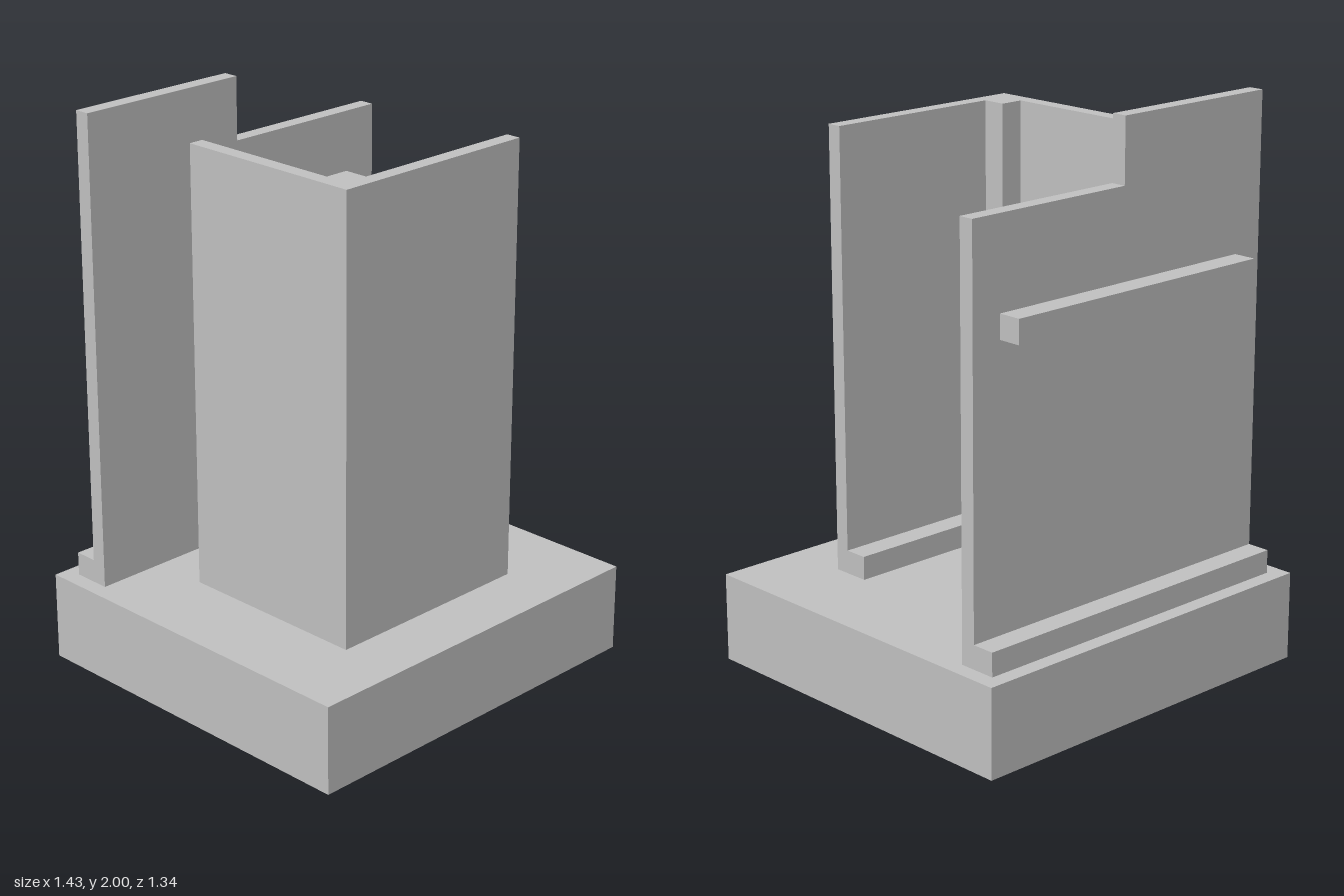
import * as THREE from 'three';

const BASE_TOP = 0.316, FOOT_TOP = 0.4, SCREEN_TOP = 1.89;

export function createModel() {
  const model = new THREE.Group();
  model.name = 'walledPlinth';
  const grey = new THREE.MeshStandardMaterial({ color: 0xbfbfbf });
  grey.name = 'plain grey';

  const add = (name, geometry) => {
    const mesh = new THREE.Mesh(geometry, grey);
    mesh.name = name;
    model.add(mesh);
    return mesh;
  };

  // Box given by its lower and upper limits on each axis
  const box = (name, [x0, x1], [y0, y1], [z0, z1]) =>
    add(name, new THREE.BoxGeometry(x1 - x0, y1 - y0, z1 - z0))
      .position.set((x0 + x1) / 2, (y0 + y1) / 2, (z0 + z1) / 2);

  const outline = (points) => new THREE.Shape(points.map(([x, y]) => new THREE.Vector2(x, y)));
  const extrude = (points, depth) =>
    new THREE.ExtrudeGeometry(outline(points), { depth, bevelEnabled: false });

  // Base slab
  box('base', [-0.713, 0.713], [0, BASE_TOP], [-0.671, 0.671]);

  // L-shaped screen with a square post in its inner corner, drawn as a plan in (x, -z)
  const screen = extrude([
    [-0.4, -0.44], [0.4, -0.44], [0.4, -0.386], [-0.26, -0.386],
    [-0.26, -0.3], [-0.346, -0.3], [-0.346, 0.272], [-0.4, 0.272],
  ], SCREEN_TOP - BASE_TOP);
  screen.rotateX(-Math.PI / 2).translate(0, BASE_TOP, 0);
  add('cornerScreen', screen);

  // Low foot strips along the inside of the screen
  box('frontFootStrip', [-0.26, 0.4], [BASE_TOP, FOOT_TOP], [0.3, 0.386]);
  box('sideFootStrip', [-0.346, -0.26], [BASE_TOP, FOOT_TOP], [-0.272, 0.3]);

  // Back wall with a stepped top edge
  const wall = extrude([
    [-0.655, BASE_TOP], [0.655, BASE_TOP], [0.655, 1.775],
    [-0.003, 1.775], [-0.003, 2], [-0.655, 2],
  ], 0.055);
  wall.translate(0, 0, -0.53);
  add('backWall', wall);

  // Foot strip and rail on the rear of the back wall
  box('backFootStrip', [-0.655, 0.655], [BASE_TOP, FOOT_TOP], [-0.614, -0.53]);
  box('backRail', [-0.54, 0.54], [1.376, 1.46], [-0.614, -0.53]);

  return model;
}
